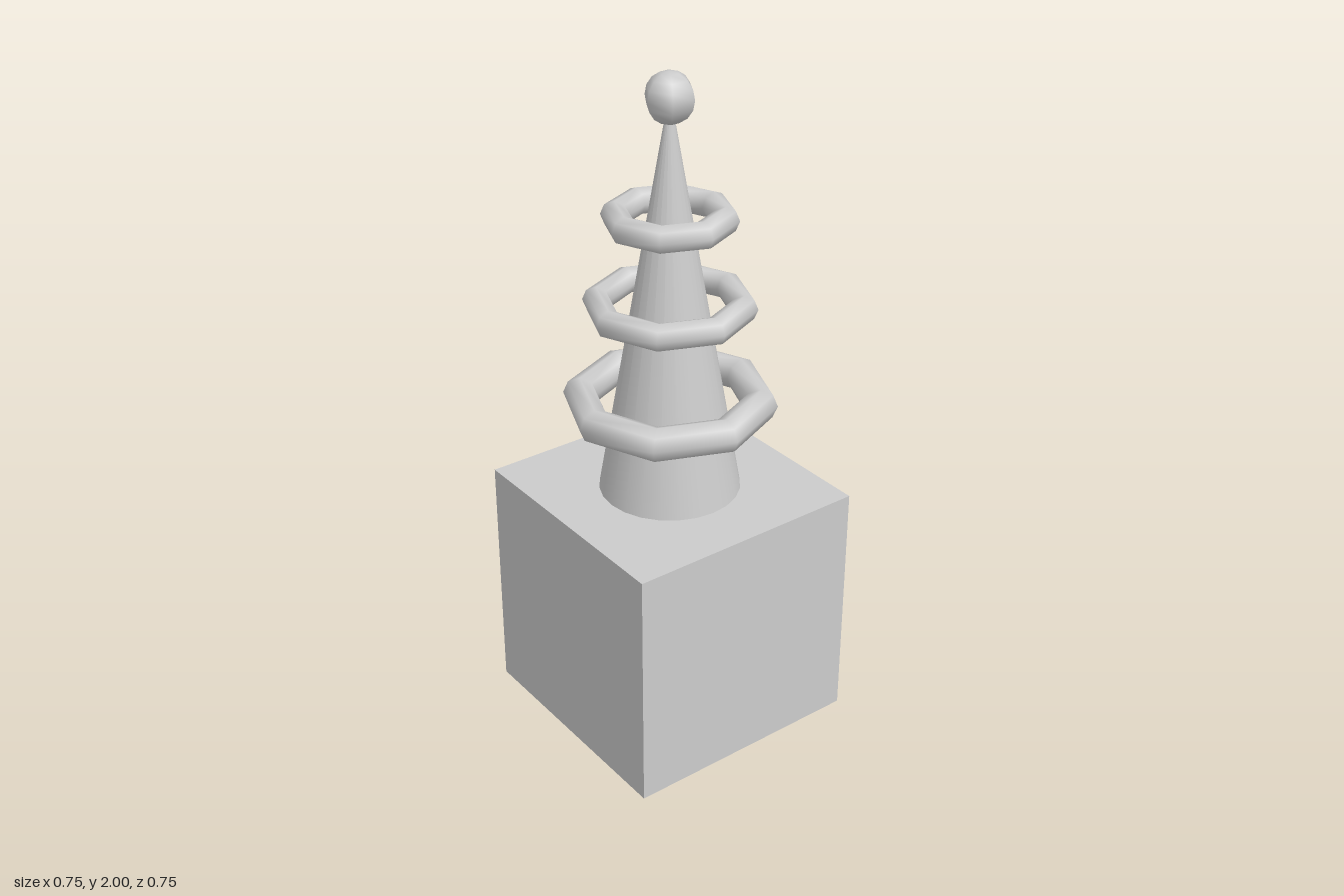
import * as THREE from 'three';

export function createModel() {
  const group = new THREE.Group();
  const material = new THREE.MeshStandardMaterial({ color: 0xcccccc });

  function add(name, geometry, y) {
    const mesh = new THREE.Mesh(geometry, material);
    mesh.name = name;
    mesh.position.y = y;
    group.add(mesh);
    return mesh;
  }

  // Square plinth
  add('plinth', new THREE.BoxGeometry(0.746, 0.75, 0.746), 0.375);

  // Tapering spire, its tip hidden inside the ball
  add('spire', new THREE.ConeGeometry(0.208, 1.2, 24), 1.35);

  // Three floating eight-sided rings, shrinking upwards: [height, radius, tube]
  const rings = [
    [1.03, 0.261, 0.05],
    [1.33, 0.208, 0.04],
    [1.59, 0.152, 0.04],
  ];
  rings.forEach(([y, radius, tube], i) => {
    const ring = new THREE.TorusGeometry(radius, tube, 8, 8).rotateX(Math.PI / 2);
    add(`ring${i + 1}`, ring, y);
  });

  // Six-sided finial ball, with corners towards front and back
  add('finialBall', new THREE.SphereGeometry(0.072, 6, 8).rotateY(Math.PI / 2), 1.928);

  return group;
}
